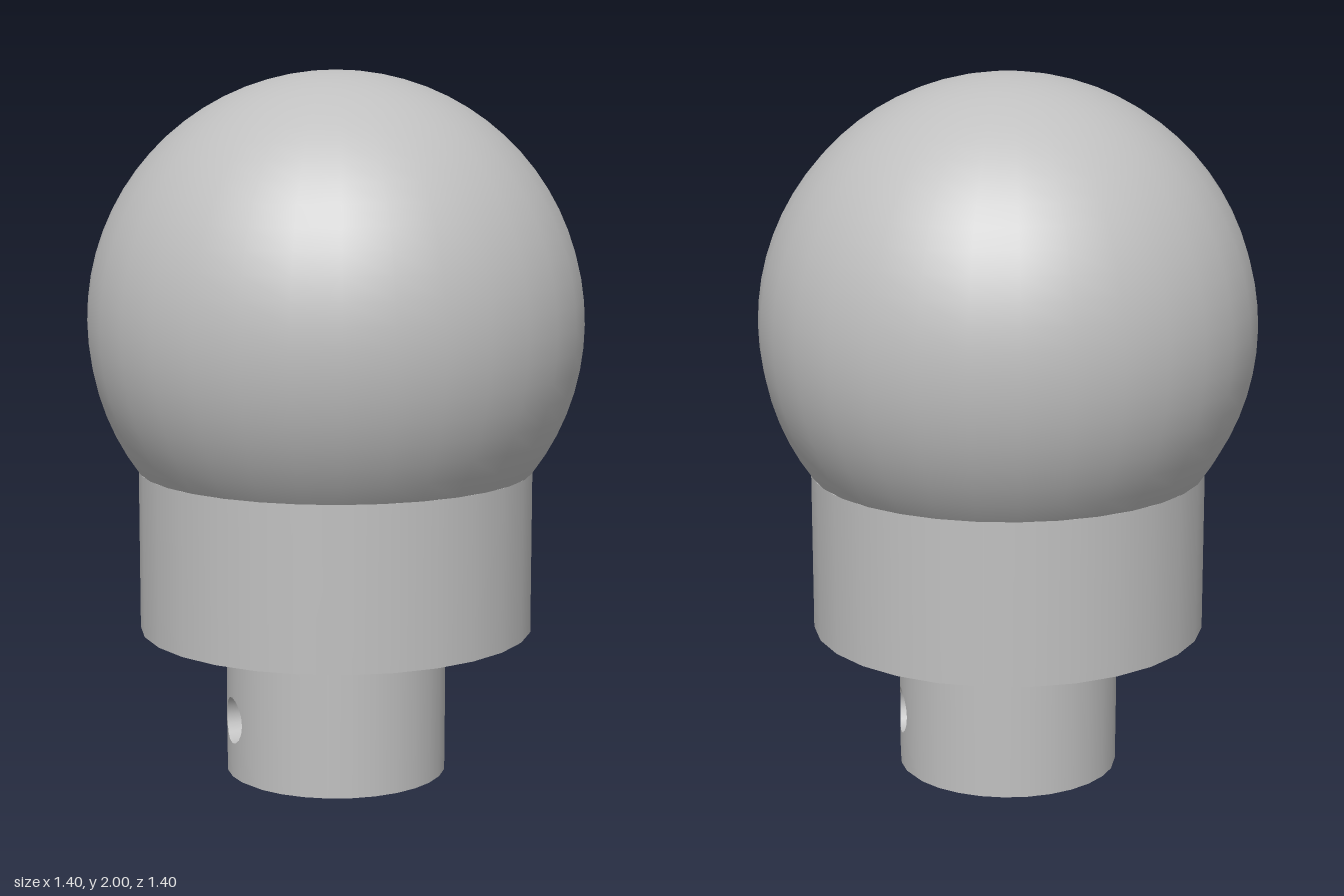
import * as THREE from 'three';
import { ParametricGeometry } from 'three/addons/geometries/ParametricGeometry.js';

const BALL_R = 0.7, BALL_Y = 1.3;
const COLLAR_R = 0.56, COLLAR_BOTTOM = 0.42, COLLAR_TOP = 0.88;
const STEM_R = 0.315, HOLE_R = 0.067, HOLE_Y = 0.165, PANEL = 0.5;

export function createModel() {
  const model = new THREE.Group();
  const grey = new THREE.MeshStandardMaterial({ color: 0xc0c0c0 });

  const add = (parent, name, geometry, y = 0) => {
    const mesh = new THREE.Mesh(geometry, grey);
    mesh.name = name;
    mesh.position.y = y;
    parent.add(mesh);
    return mesh;
  };

  // Ball, cut off where it meets the collar
  const cut = Math.acos((COLLAR_TOP - BALL_Y) / BALL_R);
  add(model, 'ball', new THREE.SphereGeometry(BALL_R, 32, 24, 0, Math.PI * 2, 0, cut), BALL_Y);

  // Collar
  const collarH = COLLAR_TOP - COLLAR_BOTTOM;
  add(model, 'collar', new THREE.CylinderGeometry(COLLAR_R, COLLAR_R, collarH, 28),
    COLLAR_BOTTOM + collarH / 2);

  // Stem with a cross hole, built along z and then turned
  const stem = new THREE.Group();
  stem.name = 'stem';
  stem.rotation.y = Math.PI * 2 / 3;
  model.add(stem);

  // Plain wall on the two sides between the hole panels
  for (const start of [PANEL, Math.PI + PANEL]) {
    add(stem, 'stemSide', new THREE.CylinderGeometry(STEM_R, STEM_R, COLLAR_BOTTOM, 10, 1, true,
      start, Math.PI - 2 * PANEL), COLLAR_BOTTOM / 2);
  }

  // Curved wall panel running from its rectangular border in to the hole rim
  const panel = new ParametricGeometry((u, v, target) => {
    const c = Math.cos(u * Math.PI * 2), s = Math.sin(u * Math.PI * 2);
    const m = Math.max(Math.abs(c), Math.abs(s));
    const borderY = HOLE_Y + (s / m) * (s > 0 ? COLLAR_BOTTOM - HOLE_Y : HOLE_Y);
    const angle = THREE.MathUtils.lerp((c / m) * PANEL, Math.asin(HOLE_R * c / STEM_R), v);
    const y = THREE.MathUtils.lerp(borderY, HOLE_Y + HOLE_R * s, v);
    target.set(STEM_R * Math.sin(angle), y, STEM_R * Math.cos(angle));
  }, 16, 4);
  for (const turn of [0, Math.PI]) add(stem, 'holePanel', panel).rotation.y = turn;

  // Inside wall of the hole, ending flush with the stem
  add(stem, 'crossHole', new ParametricGeometry((u, v, target) => {
    const x = HOLE_R * Math.cos(u * Math.PI * 2);
    const z = Math.sqrt(STEM_R * STEM_R - x * x) * (1 - 2 * v);
    target.set(x, HOLE_Y + HOLE_R * Math.sin(u * Math.PI * 2), z);
  }, 16, 2));

  // Stem underside
  add(stem, 'stemBase', new THREE.CircleGeometry(STEM_R, 28)).rotation.x = Math.PI / 2;

  return model;
}
